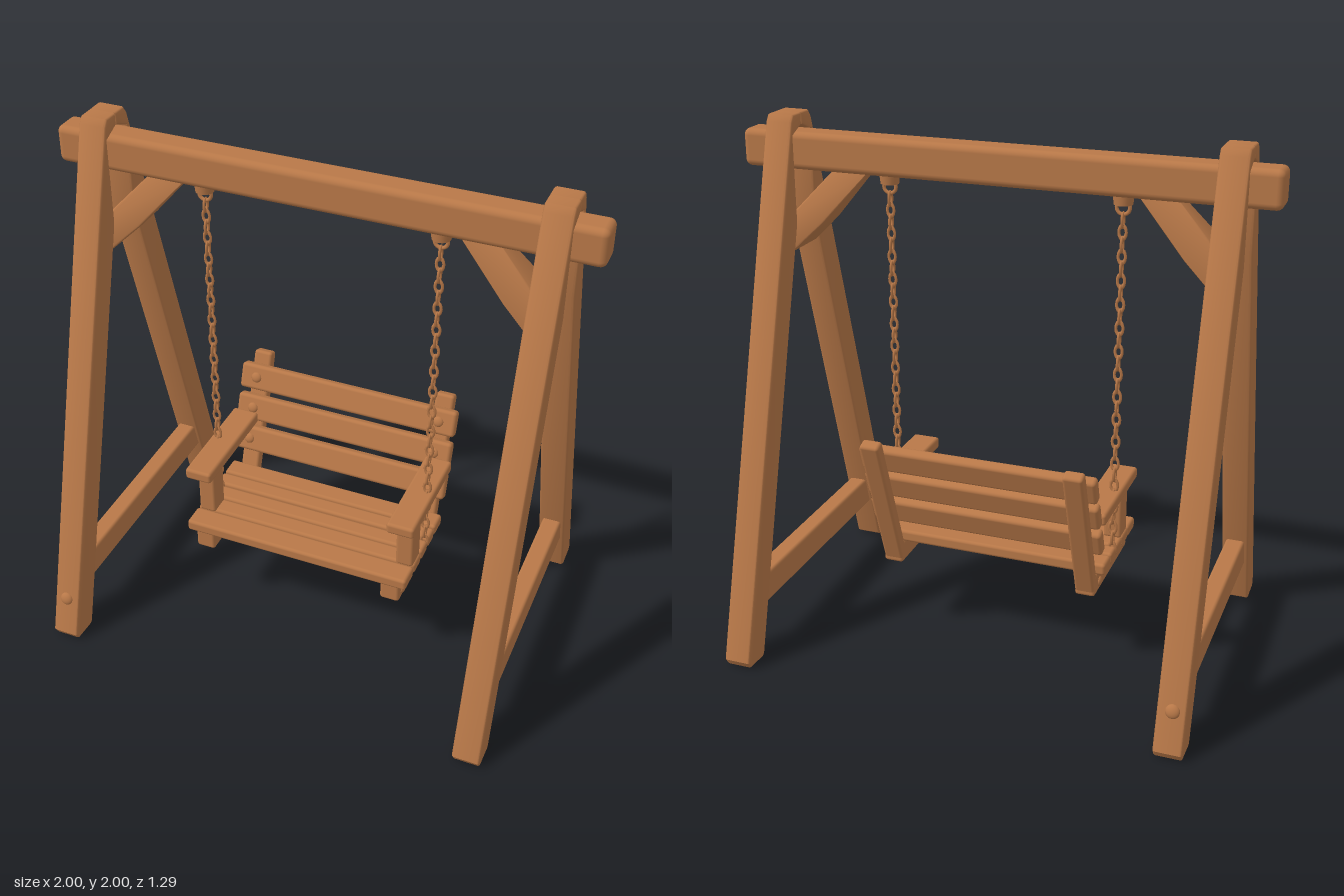
import * as THREE from 'three';
import { toCreasedNormals } from 'three/addons/utils/BufferGeometryUtils.js';
import { RoundedBoxGeometry } from 'three/addons/geometries/RoundedBoxGeometry.js';

export function createModel() {
  const wood = new THREE.MeshStandardMaterial({ color: 0xb87848 });
  wood.name = 'wood';
  const model = new THREE.Group();
  model.name = 'gardenSwing';

  const add = (parent, name, geometry, x = 0, y = 0, z = 0) => {
    const mesh = new THREE.Mesh(geometry, wood);
    mesh.name = name;
    mesh.position.set(x, y, z);
    parent.add(mesh);
    return mesh;
  };
  // Softened timber given by its minimum and maximum on each axis
  const timber = (parent, name, x0, x1, y0, y1, z0, z1, r = 0.012) =>
    add(parent, name, new RoundedBoxGeometry(x1 - x0, y1 - y0, z1 - z0, 3, r),
      (x0 + x1) / 2, (y0 + y1) / 2, (z0 + z1) / 2);
  // Outline extruded to a thickness, with rounded edges, centred on its depth
  const extrude = (points, depth, bevel) => {
    const shape = new THREE.Shape(points.map(p => new THREE.Vector2(...p)));
    return new THREE.ExtrudeGeometry(shape, {
      depth: depth - 2 * bevel, bevelSize: bevel, bevelThickness: bevel,
      bevelOffset: -bevel, bevelSegments: 3,
    }).translate(0, 0, bevel - depth / 2);
  };
  // Domed bolt head facing +z
  const boltGeometry = new THREE.SphereGeometry(1, 16, 6, 0, Math.PI * 2, 0, Math.PI / 2)
    .rotateX(Math.PI / 2);
  const bolt = (parent, r, x, y, z) => {
    const mesh = add(parent, 'bolt', boltGeometry, x, y, z);
    mesh.scale.set(r, r, r * 0.6);
    return mesh;
  };

  // Top beam
  timber(model, 'topBeam', -1, 1, 1.797, 1.937, -0.058, 0.058, 0.025);

  // A-frame legs, notched round the beam and meeting above it
  const legGeometry = toCreasedNormals(extrude([
    [0.528, 0.01], [0.542, 0], [0.632, 0.005], [0.647, 0.03],
    [0.078, 1.975], [0.06, 2], [0, 2], [0, 1.955], [0.07, 1.925], [0.07, 1.6],
  ], 0.106, 0.01).rotateY(-Math.PI / 2), 0.6);
  for (const x of [-0.835, 0.835]) {
    add(model, 'frontLeg', legGeometry, x);
    add(model, 'backLeg', legGeometry, x).rotation.y = Math.PI;
    timber(model, 'crossbar', x - 0.037, x + 0.037, 0.19, 0.31, -0.5, 0.5);
  }
  for (const s of [1, -1]) {
    const legBolt = bolt(model, 0.027, -0.838, 0.175, s * 0.601);
    legBolt.rotation.y = s > 0 ? 0 : Math.PI;
    legBolt.rotateX(-0.28);
  }

  // Knee braces, widening downward to fill the gap between the legs
  const brace = extrude([
    [0.5, 1.81], [0.68, 1.605], [0.79, 1.5], [0.825, 1.5], [0.825, 1.615], [0.64, 1.81],
  ], 0.1, 0.008);
  const bp = brace.attributes.position;
  for (let i = 0; i < bp.count; i++) {
    bp.setZ(i, bp.getZ(i) * (0.035 + (1.8 - bp.getY(i)) * 0.21) / 0.05);
  }
  brace.computeVertexNormals();
  const braceGeometry = toCreasedNormals(brace, 0.6);
  for (const a of [0, Math.PI]) add(model, 'kneeBrace', braceGeometry).rotation.y = a;

  // Seat
  const seat = new THREE.Group();
  seat.name = 'seat';
  seat.position.x = -0.005;
  model.add(seat);
  const slats = [[0.17, 0.265], [0.087, 0.163], [0.01, 0.08], [-0.068, 0], [-0.16, -0.076]];
  for (const [z0, z1] of slats) timber(seat, 'seatSlat', -0.457, 0.457, 0.39, 0.437, z0, z1);

  // Leaning backrest: posts and slats share one tilt
  const lean = 0.35;
  const tilt = -Math.atan(lean);
  const postZ = y => -0.162 - lean * (y - 0.335);
  const postGeometry = new RoundedBoxGeometry(0.076, 0.6, 0.048, 3, 0.012);
  const backSlat = new RoundedBoxGeometry(0.914, 0.105, 0.046, 3, 0.014);
  for (const y of [0.55, 0.675, 0.797]) {
    add(seat, 'backSlat', backSlat, 0, y, postZ(y) + 0.043).rotation.x = tilt;
    for (const x of [-0.388, 0.388]) {
      bolt(seat, 0.022, x, y + 0.008, postZ(y) + 0.062).rotation.x = tilt;
    }
  }

  // Side rails, armrests and back posts
  for (const s of [-1, 1]) {
    const span = (a, b) => (s > 0 ? [a, b] : [-b, -a]);
    timber(seat, 'sideRail', ...span(0.35, 0.427), 0.308, 0.395, -0.185, 0.25);
    timber(seat, 'armPost', ...span(0.38, 0.45), 0.425, 0.635, 0.082, 0.168);
    timber(seat, 'armrest', ...span(0.361, 0.469), 0.624, 0.67, -0.212, 0.234);
    add(seat, 'backPost', postGeometry, s * 0.388, 0.598, postZ(0.598)).rotation.x = tilt;
    for (const z of [0.205, -0.12]) bolt(seat, 0.02, s * 0.425, 0.345, z).rotation.y = s * Math.PI / 2;
  }

  // Chains of alternating links, hung from an eye under the beam
  const link = new THREE.TorusGeometry(0.0135, 0.0055, 6, 14);
  const eye = new THREE.TorusGeometry(0.024, 0.007, 8, 20);
  const cap = new THREE.CylinderGeometry(0.038, 0.034, 0.036, 20);
  for (const s of [-1, 1]) {
    const chain = new THREE.Group();
    chain.name = 'chain';
    chain.position.x = s * 0.44;
    seat.add(chain);
    add(chain, 'hangerCap', cap, 0, 1.782, 0);
    add(chain, 'hangerEye', eye, 0, 1.752, 0);
    for (let i = 0; i < 30; i++) {
      const mesh = add(chain, 'chainLink', link, 0, 1.708 - i * 0.0442, 0);
      mesh.scale.y = 1.7;
      mesh.rotation.y = i % 2 ? 0 : Math.PI / 2;
    }
  }
  return model;
}
